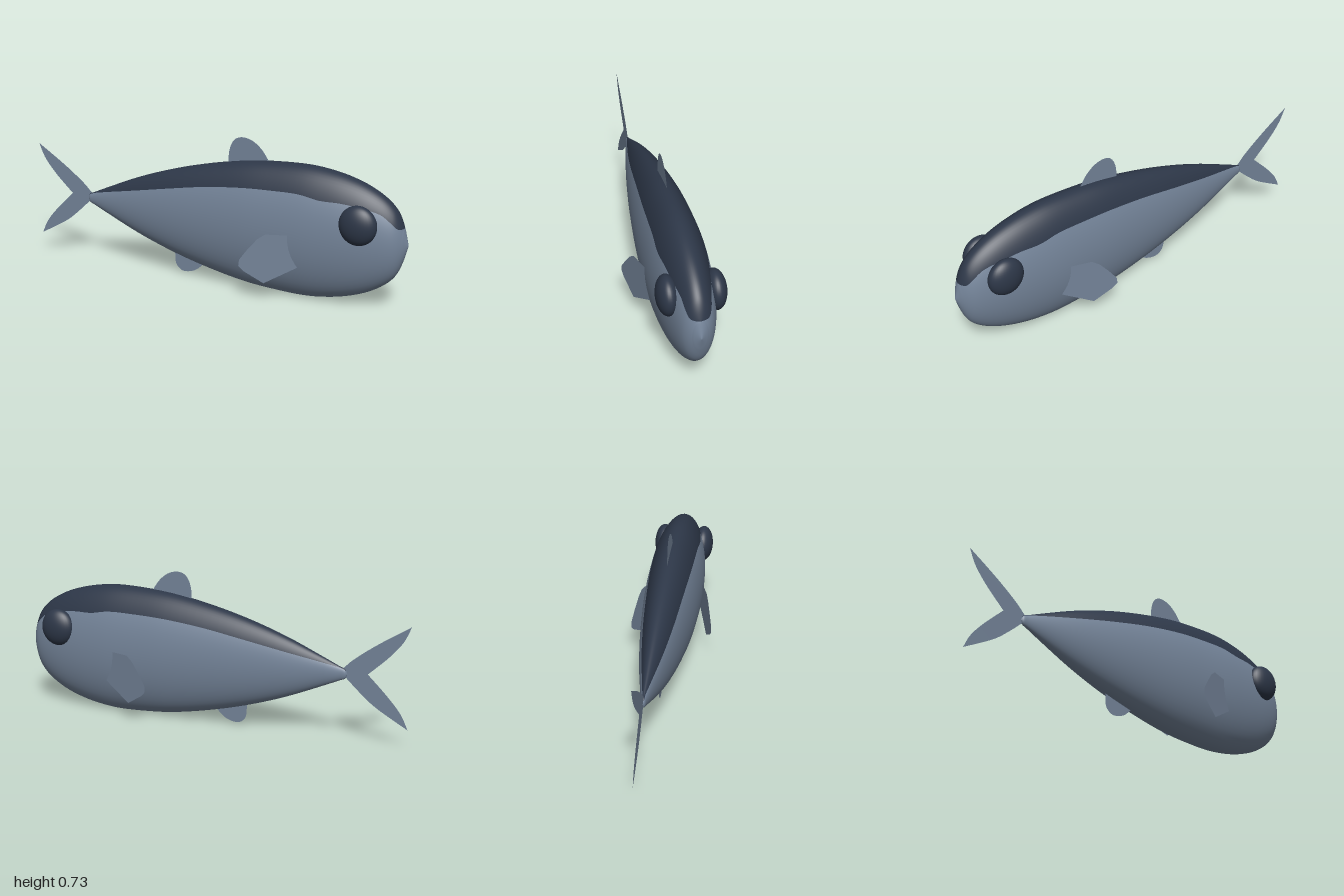
import * as THREE from 'three';

const CENTRE_Y = 0.321;
const FLATTEN = 0.43;

const silver = new THREE.MeshStandardMaterial({ color: 0x748499, side: THREE.DoubleSide });
silver.name = 'silverSkin';
const navy = new THREE.MeshStandardMaterial({ color: 0x2d3748 });
navy.name = 'darkNavy';

// Stations along the body: x, half height, height of the line below the dark back
const STATIONS = [
  [-0.705, 0.001, 0.33], [-0.695, 0.022, 0.34], [-0.67, 0.033, 0.35], [-0.6, 0.064, 0.367],
  [-0.4, 0.148, 0.41], [-0.2, 0.215, 0.452], [0, 0.266, 0.49], [0.2, 0.303, 0.515],
  [0.35, 0.316, 0.523], [0.5, 0.32, 0.524], [0.6, 0.311, 0.508], [0.7, 0.291, 0.505],
  [0.8, 0.257, 0.49], [0.88, 0.213, 0.468], [0.93, 0.169, 0.43], [0.955, 0.13, 0.405],
  [0.975, 0.079, 0.4], [0.985, 0.045, 0.4], [0.997, 0.001, 0.4],
];

// Lofted oval body: each ring has an upper (dark) arc and a lower (silver) arc
function bodyGeometry() {
  const curve = new THREE.CatmullRomCurve3(
    STATIONS.map(([x, r, line]) => new THREE.Vector3(x, r, line)), false, 'centripetal');
  const rows = 90, upper = 20, lower = 36, ring = upper + lower;
  const positions = [];
  for (let i = 0; i <= rows; i++) {
    const p = curve.getPoint(i / rows);
    const r = Math.max(p.y, 0.0005);
    const a = Math.asin(THREE.MathUtils.clamp((p.z - CENTRE_Y) / r, -1, 1));
    for (let j = 0; j < ring; j++) {
      const angle = j < upper
        ? a + (Math.PI - 2 * a) * j / upper
        : Math.PI - a + (Math.PI + 2 * a) * (j - upper) / lower;
      positions.push(p.x, CENTRE_Y + r * Math.sin(angle), r * FLATTEN * Math.cos(angle));
    }
  }
  const index = [];
  const addStrip = (from, to) => {
    for (let i = 0; i < rows; i++) {
      for (let j = from; j < to; j++) {
        const k = (j + 1) % ring;
        const a = i * ring + j, b = a + ring, c = (i + 1) * ring + k, d = i * ring + k;
        index.push(a, b, c, a, c, d);
      }
    }
  };
  addStrip(0, upper);
  const split = index.length;
  addStrip(upper, ring);
  const geometry = new THREE.BufferGeometry();
  geometry.setAttribute('position', new THREE.Float32BufferAttribute(positions, 3));
  geometry.setIndex(index);
  geometry.addGroup(0, split, 0);
  geometry.addGroup(split, index.length - split, 1);
  geometry.computeVertexNormals();
  return geometry;
}

// Flat fin in the xy plane: straight edges to the start, then a smooth rim
function fin(name, start, rim) {
  const shape = new THREE.Shape();
  shape.moveTo(...start);
  shape.lineTo(...rim[0]);
  shape.splineThru(rim.slice(1).map(([x, y]) => new THREE.Vector2(x, y)));
  const mesh = new THREE.Mesh(new THREE.ShapeGeometry(shape, 8), silver);
  mesh.name = name;
  return mesh;
}

function tailFin() {
  const shape = new THREE.Shape();
  const through = (points) => shape.splineThru(points.map(([x, y]) => new THREE.Vector2(x, y)));
  shape.moveTo(-0.66, 0.33);
  shape.lineTo(-0.69, 0.353);
  through([[-0.74, 0.4], [-0.85, 0.48], [-1, 0.575]]);
  through([[-0.965, 0.5], [-0.9, 0.422], [-0.803, 0.332]]);
  through([[-0.9, 0.237], [-0.965, 0.16], [-1, 0.09]]);
  through([[-0.85, 0.175], [-0.77, 0.238], [-0.69, 0.312]]);
  const mesh = new THREE.Mesh(new THREE.ShapeGeometry(shape, 8), silver);
  mesh.name = 'tailFin';
  return mesh;
}

// Side fin leaning away from the body toward its trailing edge
function pectoralFin(side) {
  const outline = [
    [0.55, 0.33], [0.365, 0.33], [0.33, 0.305], [0.285, 0.25], [0.25, 0.2],
    [0.247, 0.17], [0.27, 0.145], [0.36, 0.09], [0.55, 0.2],
  ];
  const shape = new THREE.Shape(outline.map(([x, y]) => new THREE.Vector2(x, y)));
  const geometry = new THREE.ShapeGeometry(shape);
  const pos = geometry.attributes.position;
  for (let i = 0; i < pos.count; i++) {
    pos.setZ(i, side * (0.17 - 0.32 * (pos.getX(i) - 0.36)));
  }
  // Keep the winding facing outward on the mirrored fin
  if (side < 0) geometry.setIndex(Array.from(geometry.index.array).reverse());
  geometry.computeVertexNormals();
  const mesh = new THREE.Mesh(geometry, silver);
  mesh.name = side > 0 ? 'frontPectoralFin' : 'backPectoralFin';
  return mesh;
}

function eye(side) {
  const mesh = new THREE.Mesh(new THREE.SphereGeometry(1, 32, 24), navy);
  mesh.scale.set(0.09, 0.093, 0.05);
  mesh.position.set(0.79, 0.416, side * 0.106);
  mesh.name = side > 0 ? 'frontEye' : 'backEye';
  return mesh;
}

export function createModel() {
  const fish = new THREE.Group();
  fish.name = 'fish';

  const body = new THREE.Mesh(bodyGeometry(), [navy, silver]);
  body.name = 'body';
  fish.add(body, tailFin());

  fish.add(fin('dorsalFin', [0.3, 0.58],
    [[0.095, 0.56], [0.095, 0.65], [0.118, 0.71], [0.16, 0.732], [0.215, 0.722], [0.265, 0.685], [0.305, 0.63]]));
  fish.add(fin('analFin', [-0.03, 0.15],
    [[-0.2, 0.17], [-0.2, 0.06], [-0.175, 0.02], [-0.135, 0.012], [-0.08, 0.032], [-0.03, 0.08]]));

  for (const side of [1, -1]) fish.add(pectoralFin(side), eye(side));
  return fish;
}
